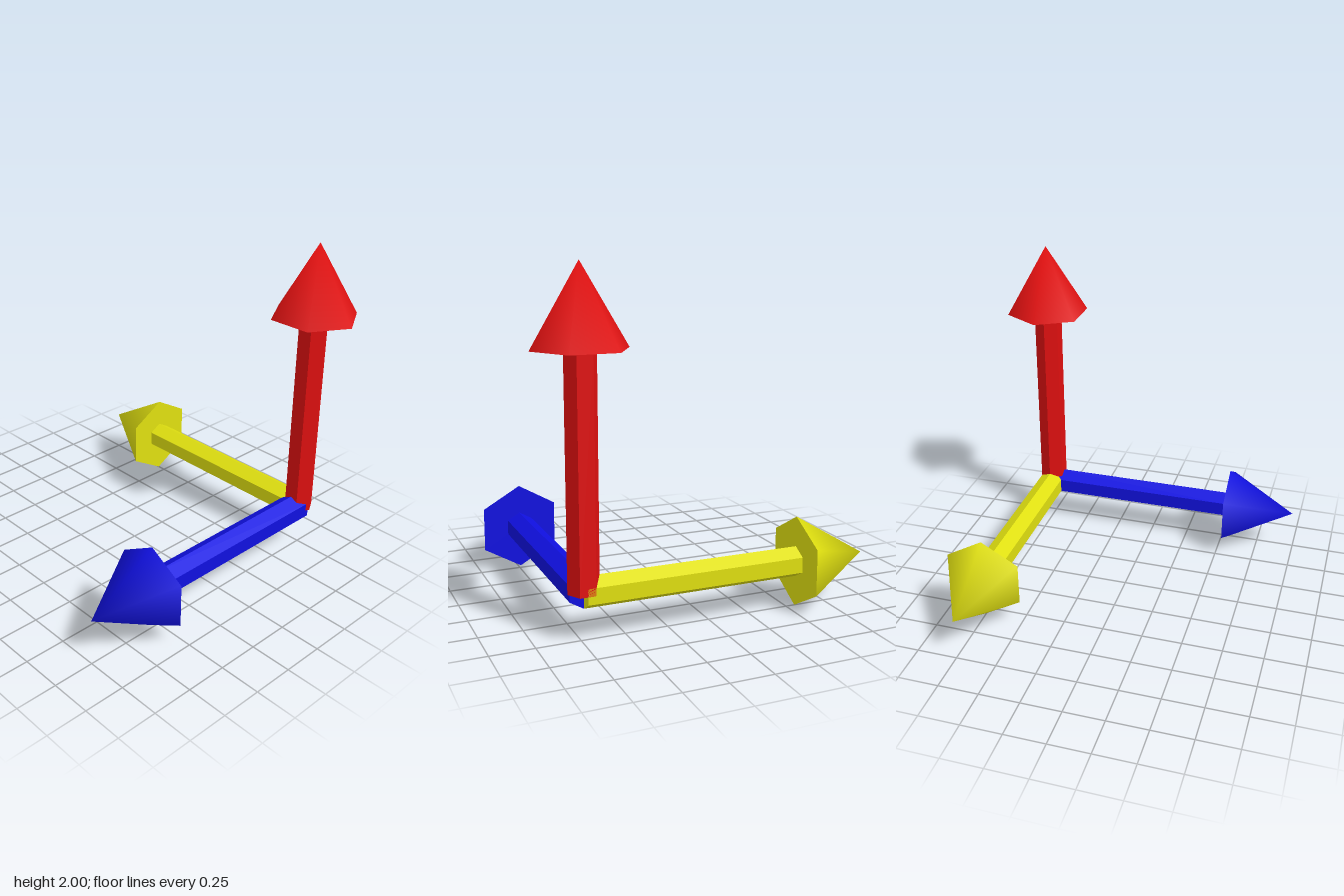
import * as THREE from 'three';
import { mergeVertices, mergeGeometries } from 'three/addons/utils/BufferGeometryUtils.js';

const SIDES = 6, LENGTH = 1.733, HEAD_H = 0.445, HEAD_R = 0.267, SHAFT_R = 0.09;
const Q = Math.PI / 2;

// Hexagonal bar with crisp edges, corners on +x and -x
function shaftGeometry() {
  const h = LENGTH - HEAD_H;
  const g = new THREE.CylinderGeometry(SHAFT_R, SHAFT_R, h, SIDES).rotateY(Q).toNonIndexed();
  g.translate(0, h / 2, 0);
  g.computeVertexNormals();
  return g;
}

// Six-sided cone with smooth sides and a flat base
function headGeometry() {
  let side = new THREE.ConeGeometry(HEAD_R, HEAD_H, SIDES, 1, true).rotateY(Q);
  side.deleteAttribute('uv');
  side.deleteAttribute('normal');
  side = mergeVertices(side);
  side.computeVertexNormals();
  const base = new THREE.CircleGeometry(HEAD_R, SIDES).rotateX(Q);
  base.deleteAttribute('uv');
  base.translate(0, -HEAD_H / 2, 0);
  return mergeGeometries([side, base]).translate(0, LENGTH - HEAD_H / 2, 0);
}

export function createModel() {
  const model = new THREE.Group();
  model.name = 'axisArrows';
  const shaftGeo = shaftGeometry(), headGeo = headGeometry();

  // Three equal arrows from one corner: up, to -x and to +z
  const arrows = [
    ['red', 0xe01010, [0, 0, 0]],
    ['yellow', 0xe0e010, [0, 0, Q]],
    ['blue', 0x1010e0, [Q, Q, 0]],
  ];
  for (const [name, color, rotation] of arrows) {
    const material = new THREE.MeshStandardMaterial({ color });
    material.name = name;
    const arrow = new THREE.Group();
    arrow.name = name + 'Arrow';
    const shaft = new THREE.Mesh(shaftGeo, material);
    shaft.name = name + 'Shaft';
    const head = new THREE.Mesh(headGeo, material);
    head.name = name + 'Head';
    arrow.add(shaft, head);
    arrow.rotation.set(...rotation);
    arrow.position.set(0.733, 0.267, -0.75);
    model.add(arrow);
  }
  return model;
}
